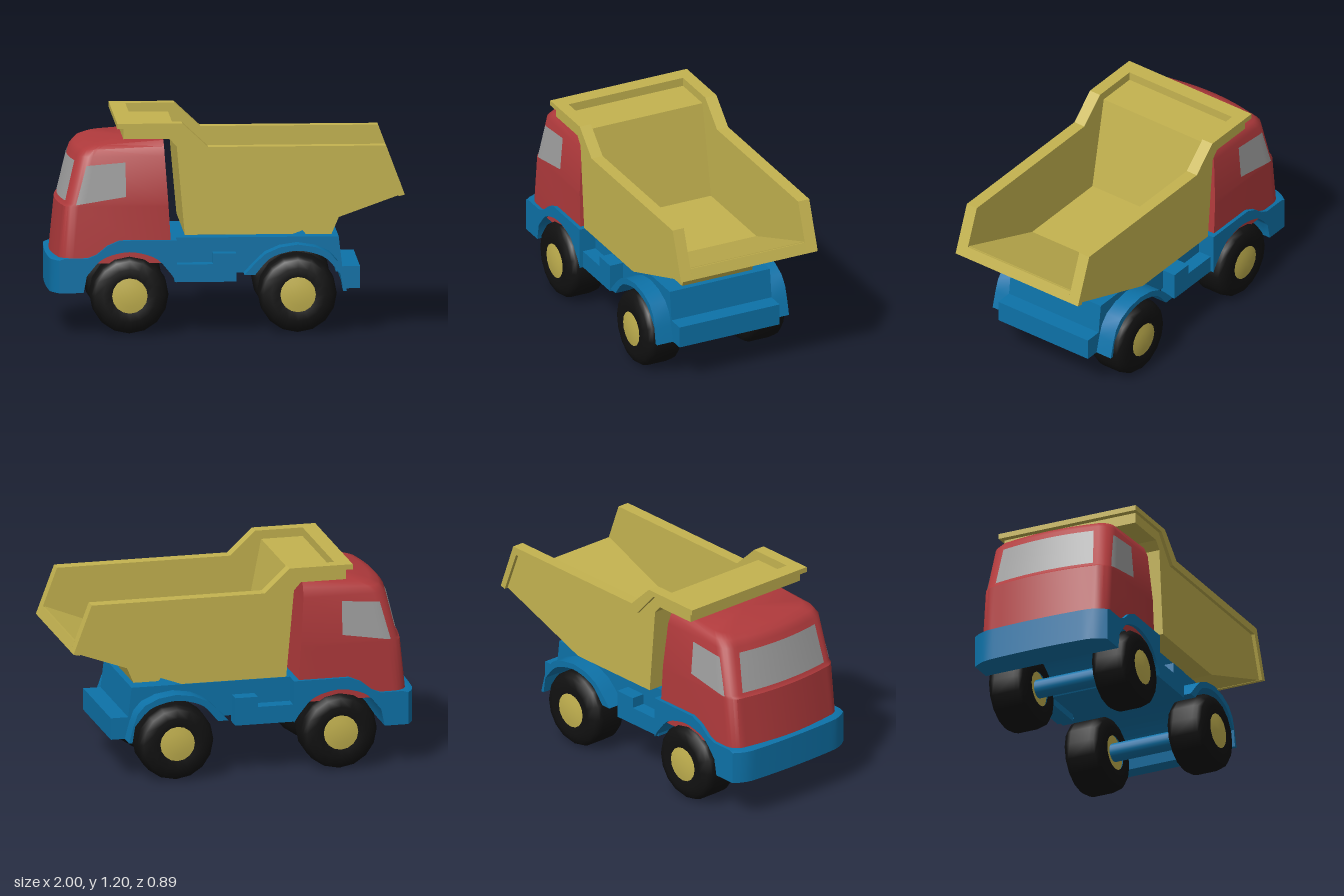
import * as THREE from 'three';
import { toCreasedNormals } from 'three/addons/utils/BufferGeometryUtils.js';

const paint = (color, side = THREE.FrontSide) => new THREE.MeshStandardMaterial({ color, side });

// Side profile (x, y) extruded from z0 to z1
function prism(points, z0, z1, steps = 1) {
  const shape = new THREE.Shape(points.map(([x, y]) => new THREE.Vector2(x, y)));
  const geo = new THREE.ExtrudeGeometry(shape, { depth: z1 - z0, steps, bevelEnabled: false });
  return geo.translate(0, 0, z0);
}

// Surface grid of nu x nv cells from a function (u, v) -> [x, y, z]
function grid(nu, nv, fn) {
  const pos = [], index = [];
  for (let j = 0; j <= nv; j++) for (let i = 0; i <= nu; i++) pos.push(...fn(i / nu, j / nv));
  for (let j = 0; j < nv; j++) for (let i = 0; i < nu; i++) {
    const a = j * (nu + 1) + i, c = a + nu + 1;
    index.push(a, a + 1, c, a + 1, c + 1, c);
  }
  const geo = new THREE.BufferGeometry();
  geo.setAttribute('position', new THREE.Float32BufferAttribute(pos, 3));
  geo.setIndex(index);
  geo.computeVertexNormals();
  return geo;
}

const lerp = THREE.MathUtils.lerp;

// Wheel opening, left to right, around a wheel centre
const arch = (cx) => new THREE.CatmullRomCurve3(
  [[-0.24, 0.33], [-0.16, 0.42], [-0.08, 0.453], [0, 0.465], [0.08, 0.453], [0.16, 0.42], [0.24, 0.33]]
    .map(([x, y]) => new THREE.Vector3(cx + x, y, 0))).getPoints(18).map((p) => [p.x, p.y]);

// Cab sections: height, front x, back x, half width, roof slope share
const CAB = [
  [0.40, -0.977, -0.305, 0.395, 0], [0.72, -0.945, -0.325, 0.392, 0], [0.735, -0.928, -0.326, 0.392, 0],
  [1.0, -0.865, -0.345, 0.37, 0], [1.035, -0.835, -0.348, 0.35, 0.6], [1.052, -0.79, -0.35, 0.315, 1],
];
const R = 0.085, BULGE = 0.03;

function cabSection(y) {
  let k = 0;
  while (k < CAB.length - 2 && y > CAB[k + 1][0]) k++;
  const t = (y - CAB[k][0]) / (CAB[k + 1][0] - CAB[k][0]);
  return CAB[k].map((v, i) => lerp(v, CAB[k + 1][i], t));
}

function cabRing([y, xf, xb, w, slope]) {
  const half = [];
  for (let i = 0; i <= 5; i++) {
    const s = i / 5;
    half.push([xf + BULGE * s * s, s * (w - R)]);
  }
  for (let i = 1; i <= 6; i++) {
    const a = i / 6 * Math.PI / 2;
    half.push([xf + BULGE + R - R * Math.cos(a), w - R + R * Math.sin(a)]);
  }
  half.push([xb, w]);
  const mirrored = half.slice(1).reverse().map(([x, z]) => [x, -z]);
  return [...mirrored, ...half].map(([x, z]) => [x, y + slope * 0.075 * (x + 0.79), z]);
}

function cabGeometry() {
  const rings = CAB.map(cabRing);
  rings.forEach((r) => r.push(r[0]));
  const last = rings[rings.length - 1];
  rings.push(last.map(() => [-0.57, 1.07, 0]));
  const n = last.length - 1, m = rings.length - 1;
  const geo = grid(n, m, (u, v) => rings[Math.round(v * m)][Math.round(u * n)]);
  return toCreasedNormals(geo, 0.65);
}

function windscreen() {
  return grid(12, 3, (u, v) => {
    const y = lerp(0.745, 0.97, v), z = lerp(-1, 1, u) * lerp(0.305, 0.283, v);
    const [, xf, , w] = cabSection(y);
    return [xf + BULGE * (z / (w - R)) ** 2 - 0.005, y, z];
  });
}

function sideWindow(s) {
  return grid(10, 4, (u, v) => {
    const x = lerp(lerp(-0.845, -0.785, v), -0.565, u);
    const y = lerp(lerp(0.73, 0.775, u), lerp(0.95, 0.968, u), v);
    const [, xf, , w] = cabSection(y);
    const d = Math.max(0, xf + BULGE + R - x);
    return [x, y, s * (w - R + Math.sqrt(Math.max(0, R * R - d * d)) + 0.004)];
  });
}

// Front base under the cab, with a bowed bumper
function frontBase() {
  const geo = prism([
    [-1, 0.235], [-1, 0.42], [-0.97, 0.43], [-0.78, 0.43], [-0.73, 0.45], [-0.67, 0.5], [-0.6, 0.53],
    [-0.28, 0.53], [-0.28, 0.29], ...arch(-0.545).reverse(), [-0.805, 0.235],
  ], -0.415, 0.415, 24);
  const p = geo.attributes.position;
  for (let i = 0; i < p.count; i++) {
    const x = p.getX(i), z = Math.abs(p.getZ(i));
    const weight = THREE.MathUtils.clamp((-0.8 - x) / 0.17, 0, 1);
    const corner = Math.max(0, (z - 0.3) / 0.115);
    p.setX(i, x + weight * (0.02 * (z / 0.415) ** 2 + 0.04 * corner ** 2));
  }
  return toCreasedNormals(geo, 0.5);
}

export function createModel() {
  const model = new THREE.Group();
  const yellow = paint(0xc4b350), red = paint(0xb03a3c), blue = paint(0x0d72a8);
  const black = paint(0x111111), glass = paint(0xa0a0a0, THREE.DoubleSide);
  const add = (name, geo, mat, parent = model) => {
    const mesh = new THREE.Mesh(geo, mat);
    mesh.name = name;
    parent.add(mesh);
    return mesh;
  };

  // Chassis
  add('frontBase', frontBase(), blue);
  add('rearChassis', prism([
    [-0.3, 0.53], [0.635, 0.53], [0.655, 0.36], [0.755, 0.36], [0.755, 0.235], [0.665, 0.235],
    ...arch(0.4).reverse(), [-0.3, 0.33],
  ], -0.315, 0.315), blue);
  add('bedPivot', prism([[-0.18, 0.525], [-0.165, 0.56], [0.005, 0.56], [0.025, 0.525]], -0.22, 0.22), blue);
  for (const s of [1, -1]) {
    const span = (a, b) => (s > 0 ? [a, b] : [-b, -a]);
    add('rearFender', toCreasedNormals(prism([
      [0.1, 0.33], [0.17, 0.405], [0.22, 0.45], [0.3, 0.485], [0.4, 0.5], [0.5, 0.485], [0.58, 0.45],
      [0.625, 0.4], [0.65, 0.33], [0.675, 0.235], [0.655, 0.235], ...arch(0.4).reverse(),
    ], ...span(0.31, 0.415)), 0.5), blue);
    add('sideTank', prism([
      [-0.29, 0.29], [0.055, 0.29], [0.055, 0.45], [-0.075, 0.45], [-0.075, 0.39], [-0.29, 0.39],
    ], ...span(0.3, 0.395)), blue);
  }

  // Cab
  add('cab', cabGeometry(), red);
  add('windscreen', windscreen(), glass);
  for (const s of [1, -1]) add('sideWindow', sideWindow(s), glass);

  // Dump bed
  const bed = new THREE.Group();
  bed.name = 'dumpBed';
  model.add(bed);
  const under = [[-0.58, 1.105], [-0.32, 1.105], [-0.28, 1.06], [-0.235, 0.56], [0.37, 0.56], [0.98, 0.78]];
  add('bedFloor', prism([
    ...under, [0.965, 0.84], [0.38, 0.61], [-0.18, 0.61], [-0.285, 1.145], [-0.525, 1.145], [-0.525, 1.18], [-0.58, 1.18],
  ], -0.36, 0.36), yellow, bed);
  const wall = [...under, [0.88, 1.04], [-0.12, 1.04], [-0.265, 1.18], [-0.58, 1.18]];
  const rim = [
    [-0.615, 1.195], [-0.25, 1.195], [-0.105, 1.06], [0.895, 1.06], [1, 0.78], [0.965, 0.772],
    [0.87, 1.015], [-0.15, 1.015], [-0.29, 1.165], [-0.615, 1.165],
  ];
  for (const s of [1, -1]) {
    add('bedSide', prism(wall, s > 0 ? 0.36 : -0.41, s > 0 ? 0.41 : -0.36), yellow, bed);
    add('bedRim', prism(rim, s > 0 ? 0.36 : -0.43, s > 0 ? 0.43 : -0.36), yellow, bed);
  }
  add('frontRim', prism([[-0.615, 1.165], [-0.525, 1.165], [-0.525, 1.195], [-0.615, 1.195]], -0.36, 0.36), yellow, bed);
  add('rearSill', prism([[1, 0.78], [0.965, 0.772], [0.945, 0.832], [0.978, 0.84]], -0.36, 0.36), yellow, bed);
  add('bedSupport', prism([[0.4, 0.6], [0.46, 0.525], [0.598, 0.525], [0.66, 0.67]], -0.22, 0.22), yellow, bed);

  // Wheels and axles
  const tyre = new THREE.LatheGeometry([
    [0.1, -0.115], [0.15, -0.122], [0.195, -0.105], [0.213, -0.085], [0.22, -0.06],
    [0.22, 0.06], [0.213, 0.085], [0.195, 0.105], [0.15, 0.122], [0.1, 0.115],
  ].map(([r, y]) => new THREE.Vector2(r, y)), 16).rotateX(Math.PI / 2);
  const hub = toCreasedNormals(new THREE.LatheGeometry([
    [0, -0.105], [0.105, -0.105], [0.105, 0.114], [0.06, 0.121], [0, 0.124],
  ].map(([r, y]) => new THREE.Vector2(r, y)), 24), 0.6).rotateX(Math.PI / 2);
  const axle = new THREE.CylinderGeometry(0.053, 0.053, 0.5, 16).rotateX(Math.PI / 2);
  for (const x of [-0.545, 0.4]) {
    add('axle', axle, blue).position.set(x, 0.22, 0);
    for (const s of [1, -1]) {
      const wheel = new THREE.Group();
      wheel.name = 'wheel';
      wheel.position.set(x, 0.22, s * 0.323);
      if (s < 0) wheel.rotation.y = Math.PI;
      add('tyre', tyre, black, wheel);
      add('hub', hub, yellow, wheel);
      model.add(wheel);
    }
  }
  return model;
}
